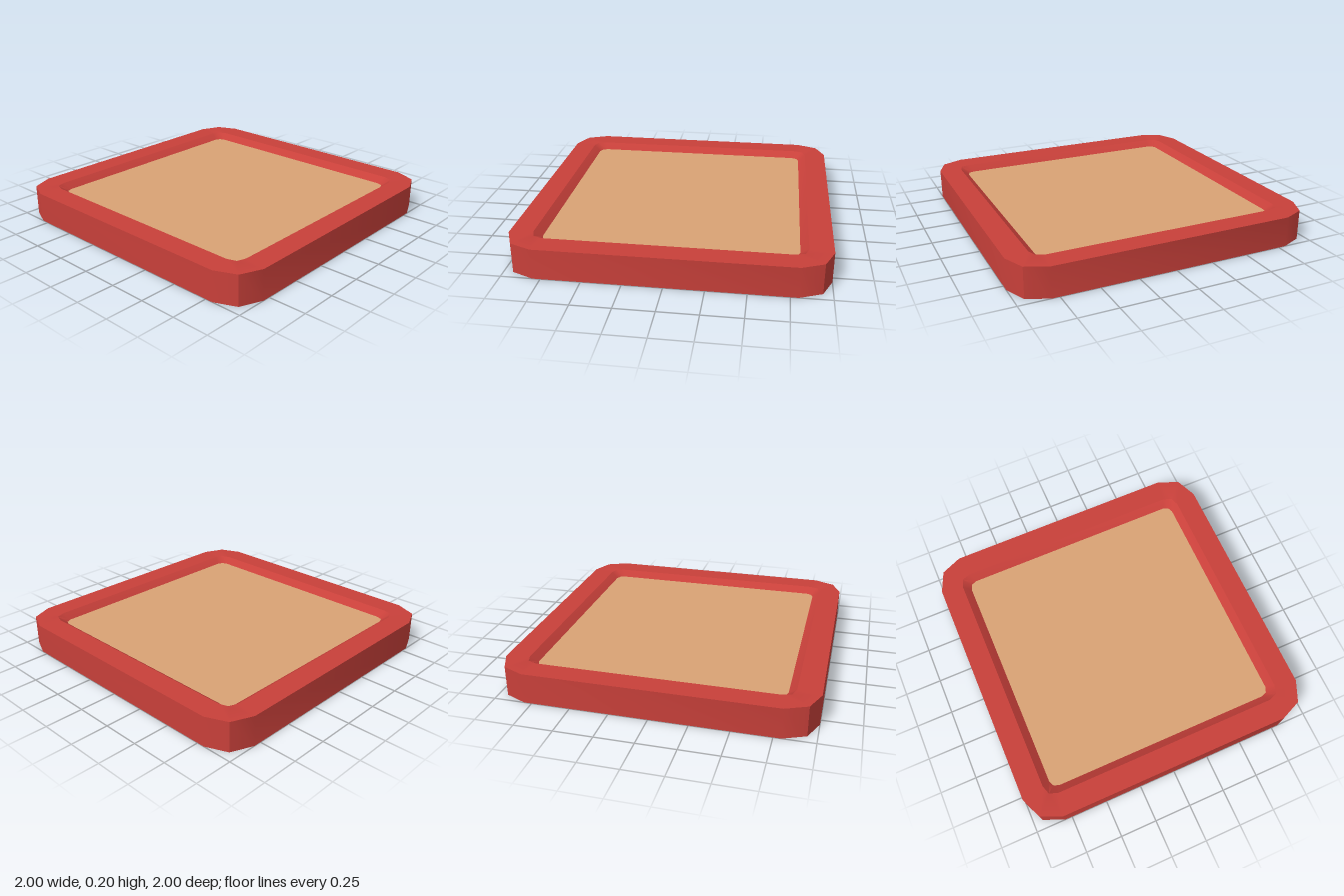
import * as THREE from 'three';
import { toCreasedNormals } from 'three/addons/utils/BufferGeometryUtils.js';

// Rounded-square loop at height y: half width, start of the corner cut, and its middle point
function ring(y, half, cut, mid) {
  const points = [];
  for (let k = 0; k < 4; k++) {
    const c = [1, 0, -1, 0][k], s = [0, 1, 0, -1][k];
    for (const [x, z] of [[half, cut], [mid, mid], [cut, half]]) {
      points.push([x * c - z * s, y, x * s + z * c]);
    }
  }
  return points;
}

// Joins successive loops with quads; a loop of zero size closes the surface
function skin(rings) {
  const pos = [];
  const isPoint = (r) => r[0][0] === 0 && r[1][0] === 0;
  for (let k = 0; k + 1 < rings.length; k++) {
    const a = rings[k], b = rings[k + 1];
    for (let i = 0; i < a.length; i++) {
      const j = (i + 1) % a.length;
      if (!isPoint(b)) pos.push(...a[i], ...b[i], ...b[j]);
      if (!isPoint(a)) pos.push(...a[i], ...b[j], ...a[j]);
    }
  }
  const geometry = new THREE.BufferGeometry();
  geometry.setAttribute('position', new THREE.Float32BufferAttribute(pos, 3));
  return toCreasedNormals(geometry, 0.6);
}

export function createModel() {
  const group = new THREE.Group();
  group.name = 'tray';
  const red = new THREE.MeshStandardMaterial({ color: 0xc8403a });
  red.name = 'red';
  const tan = new THREE.MeshStandardMaterial({ color: 0xd9a274 });
  tan.name = 'tan';

  const height = 0.2, floorY = 0.16;
  const floorEdge = ring(floorY, 0.8, 0.75, 0.785);

  // Underside, outer wall, flat rim and sloping inner lip
  const frame = new THREE.Mesh(skin([
    ring(0, 0, 0, 0),
    ring(0, 1, 0.8, 0.94),
    ring(height, 1, 0.8, 0.94),
    ring(height, 0.85, 0.77, 0.83),
    floorEdge,
  ]), red);
  frame.name = 'frame';

  // Recessed floor inside the rim
  const floor = new THREE.Mesh(skin([floorEdge, ring(floorY, 0, 0, 0)]), tan);
  floor.name = 'floor';

  group.add(frame, floor);
  return group;
}
